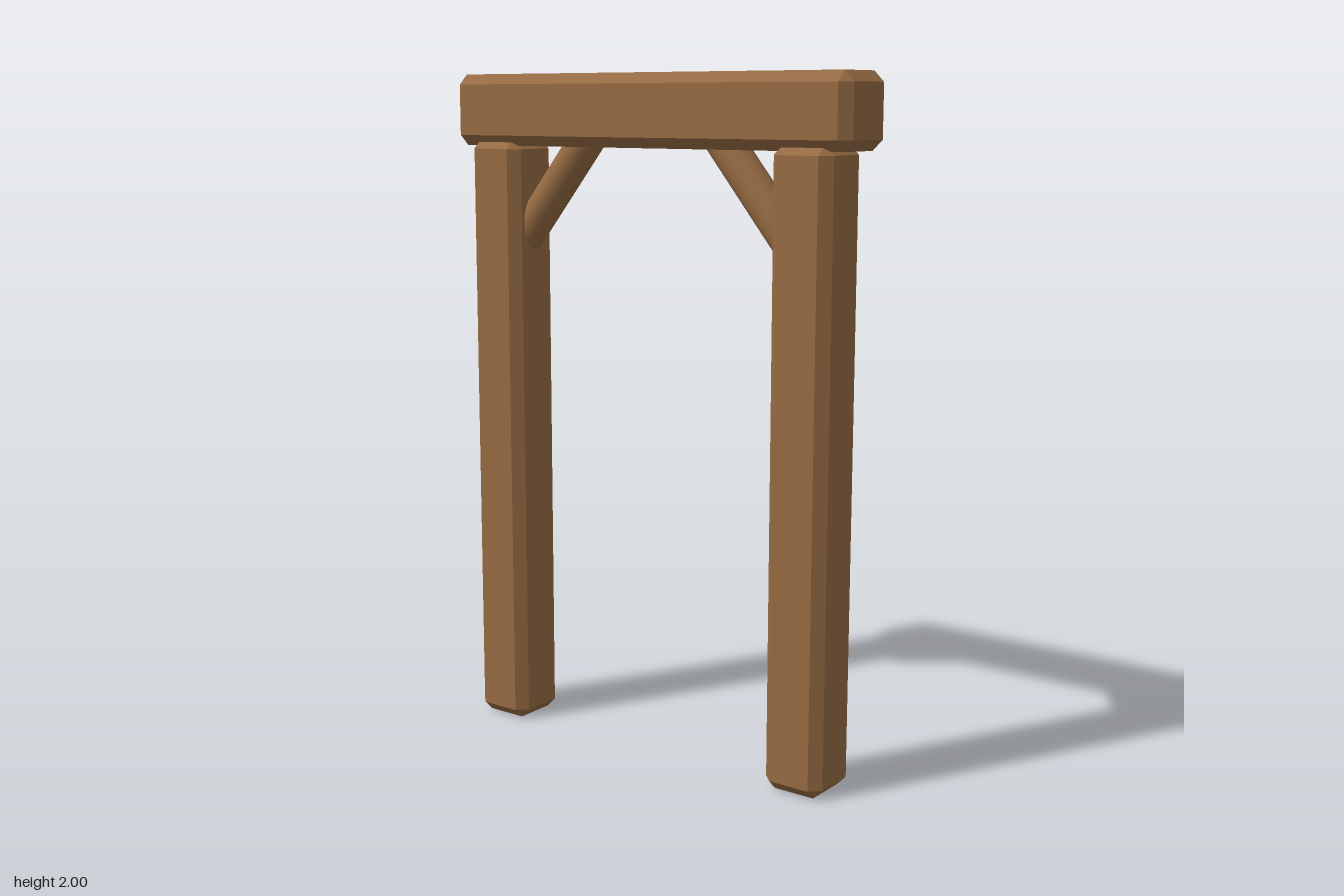
import * as THREE from 'three';
import { ConvexGeometry } from 'three/addons/geometries/ConvexGeometry.js';

// Box with flat chamfers on every edge and cut corners
function chamferedBox(w, h, d, c) {
  const points = [];
  for (const sx of [-1, 1]) for (const sy of [-1, 1]) for (const sz of [-1, 1]) {
    const x = w / 2, y = h / 2, z = d / 2;
    points.push(
      new THREE.Vector3(sx * x, sy * (y - c), sz * (z - c)),
      new THREE.Vector3(sx * (x - c), sy * y, sz * (z - c)),
      new THREE.Vector3(sx * (x - c), sy * (y - c), sz * z)
    );
  }
  return new ConvexGeometry(points);
}

export function createModel() {
  const group = new THREE.Group();
  const wood = new THREE.MeshStandardMaterial({ color: 0x966b43 });
  wood.name = 'brown wood';

  const add = (name, geometry, x, y, z) => {
    const mesh = new THREE.Mesh(geometry, wood);
    mesh.name = name;
    mesh.position.set(x, y, z);
    group.add(mesh);
    return mesh;
  };

  // Lintel beam running front to back
  add('beam', chamferedBox(0.214, 0.21, 1.38, 0.03), 0, 1.895, 0);

  const postX = -0.0135;
  const postGeometry = chamferedBox(0.187, 1.81, 0.187, 0.03);
  const up = new THREE.Vector3(0, 1, 0);

  for (const [side, s] of [['front', 1], ['back', -1]]) {
    // Post, its top let into the beam
    add(side + 'Post', postGeometry, postX, 0.905, s * 0.541);

    // Round diagonal brace, both ends buried in the post and beam
    const low = new THREE.Vector3(postX, 1.48, s * 0.515);
    const high = new THREE.Vector3(postX, 1.866, s * 0.198);
    const along = high.clone().sub(low);
    const middle = low.clone().add(high).multiplyScalar(0.5);
    const brace = add(side + 'Brace',
      new THREE.CylinderGeometry(0.053, 0.053, along.length(), 16),
      middle.x, middle.y, middle.z);
    brace.quaternion.setFromUnitVectors(up, along.normalize());
  }
  return group;
}
